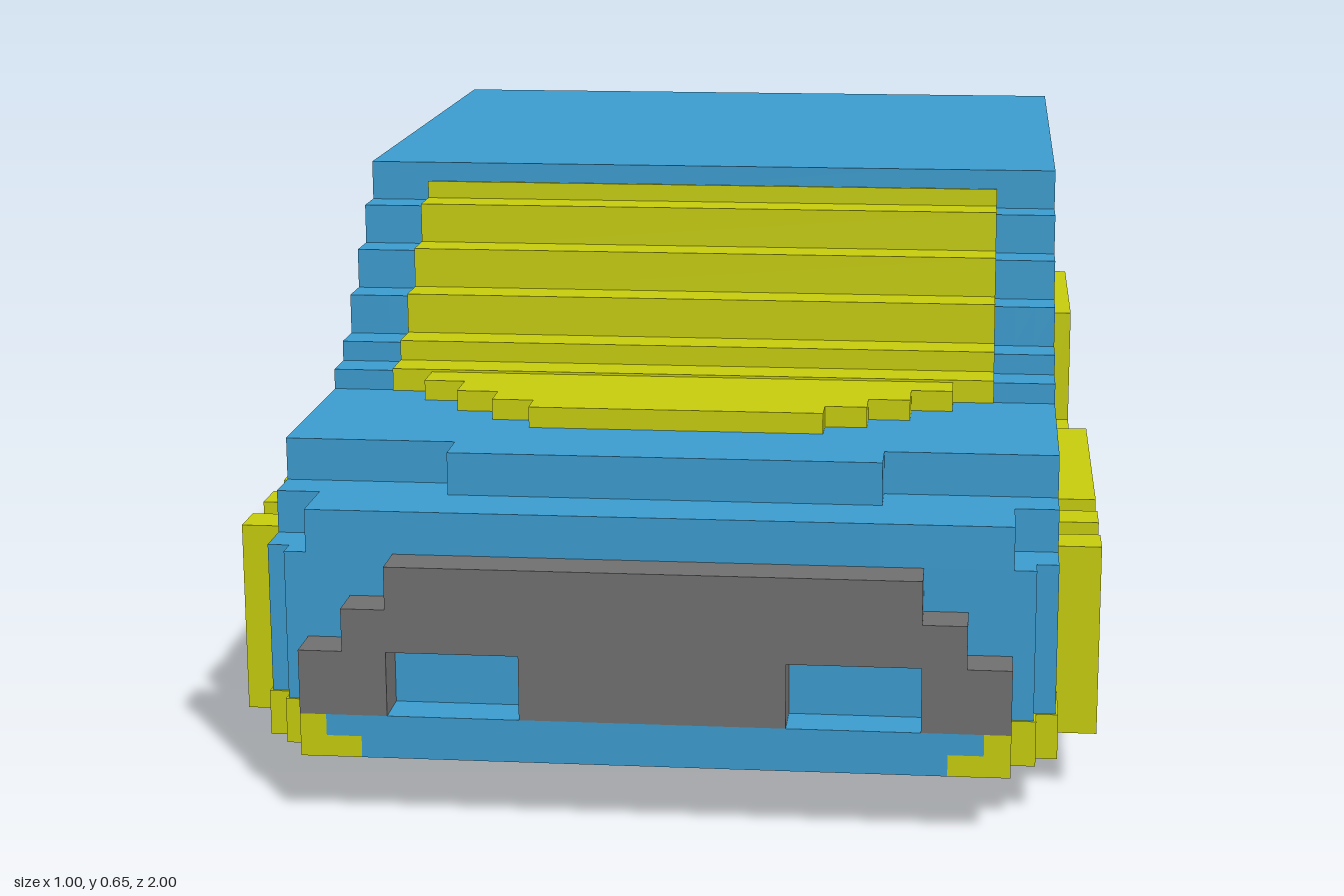
import * as THREE from 'three';

export function createModel() {
  const car = new THREE.Group();
  car.name = 'car';
  const mat = (name, color) => Object.assign(new THREE.MeshStandardMaterial({ color }), { name });
  const blue = mat('bodyBlue', 0x3c9ccf);
  const yellow = mat('trimYellow', 0xc6cd0d);
  const grey = mat('bumperGrey', 0x707070);
  const dark = mat('rubberDark', 0x2c2c2c);
  const light = mat('rimSilver', 0xcacaca);

  const add = (name, geo, material) => {
    const mesh = new THREE.Mesh(geo, material);
    mesh.name = name;
    car.add(mesh);
    return mesh;
  };
  // box given by its extents on each axis
  const box = (name, material, [x0, x1], [y0, y1], [z0, z1]) => {
    const g = new THREE.BoxGeometry(x1 - x0, y1 - y0, z1 - z0);
    g.translate((x0 + x1) / 2, (y0 + y1) / 2, (z0 + z1) / 2);
    return add(name, g, material);
  };
  const pair = (name, material, [x0, x1], y, z) => {
    box(name + 'Left', material, [x0, x1], y, z);
    box(name + 'Right', material, [-x1, -x0], y, z);
  };
  const toVec = ([z, y]) => new THREE.Vector2(-z, y);
  // side outline of [z, y] points, extruded across x
  const slab = (name, material, x0, x1, pts, holes = []) => {
    const shape = new THREE.Shape(pts.map(toVec));
    shape.holes = holes.map(h => new THREE.Path(h.map(toVec)));
    const g = new THREE.ExtrudeGeometry(shape, { depth: x1 - x0, bevelEnabled: false });
    g.rotateY(Math.PI / 2).translate(x0, 0, 0);
    return add(name, g, material);
  };
  const slabPair = (name, material, x0, x1, pts, holes) => {
    slab(name + 'Left', material, x0, x1, pts, holes);
    slab(name + 'Right', material, -x1, -x0, pts, holes);
  };

  // stepped body outline; the ends vary with the distance from the middle
  const outline = ({ nose = 0.95, lamp = 0.95, hood = 0.825, trunk = -0.825, tail = -0.95 }) => [
    [nose, 0.075], [nose, 0.3], [lamp, 0.3], [lamp, 0.35], [hood, 0.35], [hood, 0.4],
    [0.575, 0.4], [0.575, 0.425], [0.525, 0.425], [0.525, 0.45], [0.475, 0.45], [0.475, 0.5],
    [0.425, 0.5], [0.425, 0.55], [0.375, 0.55], [0.375, 0.6], [0.325, 0.6], [0.325, 0.65],
    [-0.425, 0.65], [-0.425, 0.6], [-0.475, 0.6], [-0.475, 0.55], [-0.525, 0.55], [-0.525, 0.5],
    [-0.575, 0.5], [-0.575, 0.45], [trunk, 0.45], [trunk, 0.4], [tail, 0.4], [tail, 0.35],
    [-0.95, 0.35], [-0.95, 0.075],
  ];
  const windows = [
    [[0, 0.325], [0.25, 0.325], [0.25, 0.375], [0.425, 0.375], [0.425, 0.5], [0.375, 0.5],
      [0.375, 0.55], [0.325, 0.55], [0.325, 0.6], [0, 0.6]],
    [[-0.05, 0.325], [-0.05, 0.6], [-0.425, 0.6], [-0.425, 0.55], [-0.475, 0.55], [-0.475, 0.45],
      [-0.525, 0.45], [-0.525, 0.375], [-0.475, 0.375], [-0.475, 0.325]],
  ];
  const edge = { lamp: 0.875, trunk: -0.775, tail: -0.9 };
  slab('bodyCentre', blue, -0.25, 0.25, outline({ hood: 0.875 }));
  slabPair('bodyShoulder', blue, 0.25, 0.4, outline({}));
  slabPair('bodyFlank', blue, 0.4, 0.425, outline(edge));
  slabPair('sidePanel', blue, 0.425, 0.45, outline({ ...edge, nose: 0.925 }), windows);
  windows.forEach((w, i) => slabPair(i ? 'rearWindow' : 'frontWindow', dark, 0.42, 0.428, w));

  // stepped windscreens, just proud of the body
  const half = [-0.375, 0.375], t = 0.003;
  [[0.425, 0.525], [0.45, 0.475], [0.5, 0.425], [0.55, 0.375], [0.6, 0.325]].forEach(([y, z]) =>
    box('windscreenStep', yellow, half, [Math.max(y - 0.055, 0.4), y + t], [z - 0.01, z + 0.05 + t]));
  [[0.6, -0.425], [0.55, -0.475], [0.5, -0.525]].forEach(([y, z]) =>
    box('rearScreenStep', yellow, half, [y - 0.05, y + t], [z - 0.05 - t, z + 0.01]));
  box('windscreenTop', yellow, half, [0.6, 0.625], [0.3, 0.325 + t]);
  box('rearScreenTop', yellow, half, [0.6, 0.625], [-0.425 - t, -0.4]);

  // tapering panels on hood and trunk
  [[0.325, 0.575, 0.625], [0.275, 0.625, 0.675], [0.225, 0.675, 0.715], [0.175, 0.715, 0.75]]
    .forEach(([w, a, b]) => box('hoodPanel', yellow, [-w, w], [0.39, 0.425], [a, b]));
  [[0.25, 0.575, 0.625], [0.225, 0.625, 0.675], [0.15, 0.675, 0.725]]
    .forEach(([w, a, b]) => box('trunkPanel', yellow, [-w, w], [0.44, 0.475], [-b, -a]));

  // sills, wheel arches and side slats
  const out = [0.45, 0.5];
  pair('slatFront', yellow, out, [0.125, 0.3], [0.8, 0.85]);
  pair('slatMiddle', yellow, out, [0.125, 0.3], [0.7, 0.75]);
  [[0.6, 0.85], [-0.5, 0.35], [-0.95, -0.75]].forEach(z => pair('sill', yellow, out, [0.075, 0.125], z));
  const wheelZ = [0.475, -0.625];
  for (const c of wheelZ) {
    slabPair('wheelArch', yellow, 0.45, 0.5, [
      [c + 0.175, 0.075], [c + 0.175, 0.3], [c - 0.175, 0.3], [c - 0.175, 0.075],
      [c - 0.125, 0.075], [c - 0.125, 0.25], [c + 0.125, 0.25], [c + 0.125, 0.075],
    ]);
  }

  // front grille bumper with two openings
  const grille = new THREE.Shape([
    [-0.4, 0.125], [-0.3, 0.125], [-0.3, 0.2], [-0.15, 0.2], [-0.15, 0.125], [0.15, 0.125],
    [0.15, 0.2], [0.3, 0.2], [0.3, 0.125], [0.4, 0.125], [0.4, 0.2], [0.35, 0.2], [0.35, 0.25],
    [0.3, 0.25], [0.3, 0.3], [-0.3, 0.3], [-0.3, 0.25], [-0.35, 0.25], [-0.35, 0.2], [-0.4, 0.2],
  ].map(p => new THREE.Vector2(...p)));
  const grilleGeo = new THREE.ExtrudeGeometry(grille, { depth: 0.05, bevelEnabled: false });
  add('frontBumper', grilleGeo.translate(0, 0, 0.95), grey);

  // rear bumper and blank plate
  box('rearBumper', grey, [-0.35, 0.35], [0.125, 0.275], [-1, -0.95]);
  pair('rearBumperEnd', grey, [0.35, 0.4], [0.125, 0.25], [-1, -0.95]);
  box('rearPlate', light, [-0.125, 0.125], [0.165, 0.235], [-1.003, -0.998]);
  box('rearPlateMiddle', light, [-0.105, 0.105], [0.15, 0.25], [-1.003, -0.998]);

  // lower lips: blue middle, yellow corners
  [[[0.95, 1], 0.4], [[-1, -0.95], 0.45]].forEach(([z, end]) =>
    [[0.075, 0.1, 0.33], [0.1, 0.125, 0.37]].forEach(([y0, y1, w]) => {
      box('lip', blue, [-w, w], [y0, y1], z);
      pair('lipCorner', yellow, [w, end], [y0, y1], z);
    }));
  pair('noseTrim', yellow, [0.4, 0.425 + t], [0.075 - t, 0.125], [0.85, 0.95 + t]);
  pair('noseTrimSide', yellow, [0.42, 0.45 + t], [0.075 - t, 0.125], [0.85, 0.925 + t]);

  // wheels with blocky corners, and axles
  const ring = (c, rz, ry, s) => [
    [rz, ry - s], [rz - s, ry - s], [rz - s, ry], [s - rz, ry], [s - rz, ry - s], [-rz, ry - s],
    [-rz, s - ry], [s - rz, s - ry], [s - rz, -ry], [rz - s, -ry], [rz - s, s - ry], [rz, s - ry],
  ].map(([z, y]) => [c + z, 0.125 + y]);
  for (const c of wheelZ) {
    slabPair('tyre', dark, 0.325, 0.453, ring(c, 0.125, 0.125, 0.025));
    slabPair('rim', light, 0.322, 0.457, ring(c, 0.075, 0.085, 0.018));
    box('axle', grey, [-0.322, 0.322], [0.071, 0.08], [c - 0.075, c + 0.075]);
  }
  return car;
}
